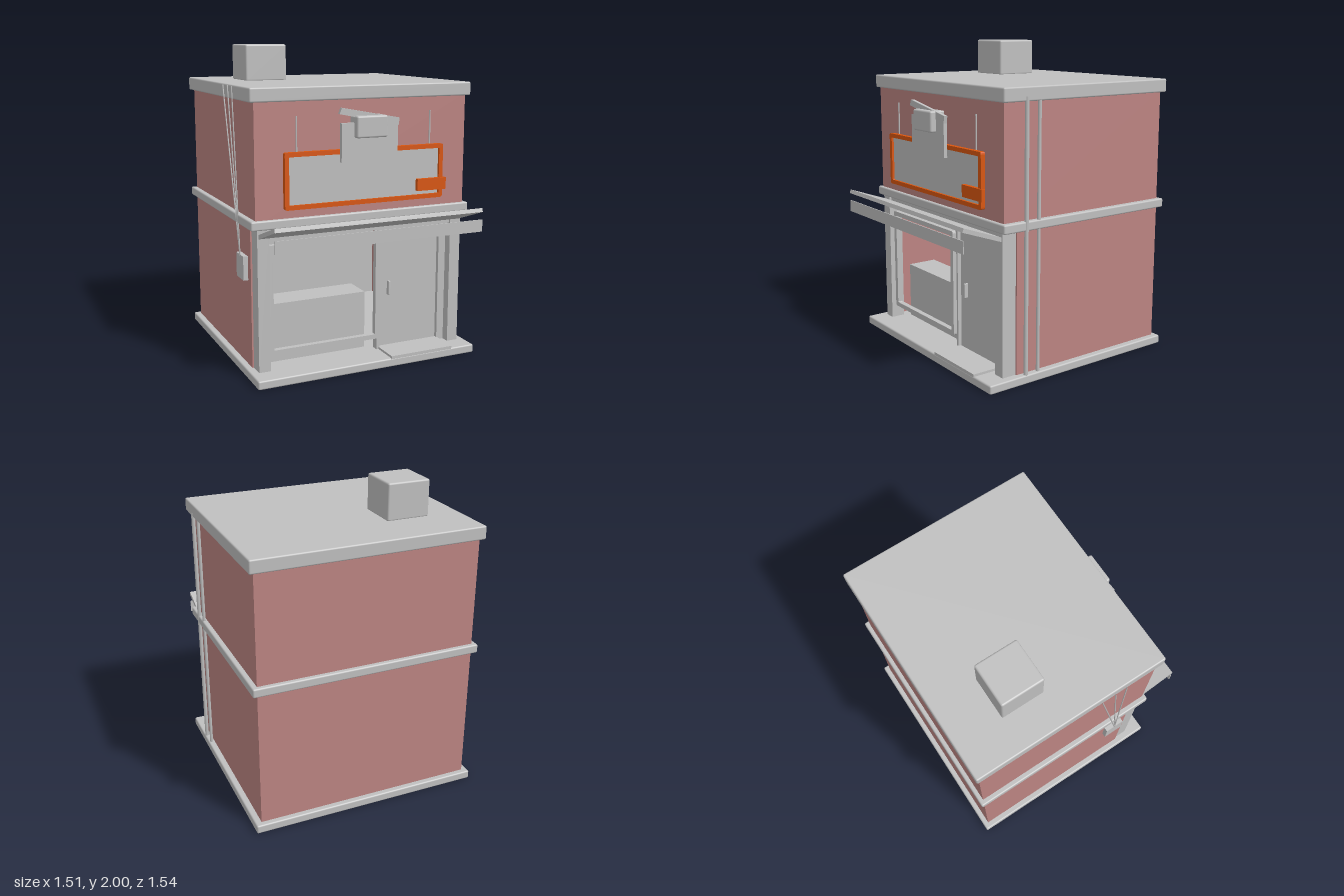
import * as THREE from 'three';
import { RoundedBoxGeometry } from 'three/addons/geometries/RoundedBoxGeometry.js';

export function createModel() {
  const model = new THREE.Group();
  model.name = 'shopBuilding';
  const grey = new THREE.MeshStandardMaterial({ name: 'concreteGrey', color: 0xbfbfbf });
  const pink = new THREE.MeshStandardMaterial({ name: 'brickPink', color: 0xbc8482 });
  const orange = new THREE.MeshStandardMaterial({ name: 'signOrange', color: 0xd9560f });

  const add = (name, geometry, material) => {
    const mesh = new THREE.Mesh(geometry, material);
    mesh.name = name;
    model.add(mesh);
    return mesh;
  };
  // Box given by its limits on each axis; bevel rounds the edges
  const box = (name, material, [x0, x1], [y0, y1], [z0, z1], bevel = 0) => {
    const size = [x1 - x0, y1 - y0, z1 - z0];
    const geometry = bevel ? new RoundedBoxGeometry(...size, 2, bevel) : new THREE.BoxGeometry(...size);
    const mesh = add(name, geometry, material);
    mesh.position.set((x0 + x1) / 2, (y0 + y1) / 2, (z0 + z1) / 2);
    return mesh;
  };
  // Straight round rod between two points
  const rod = (name, a, b, radius) => {
    const path = new THREE.LineCurve3(new THREE.Vector3(...a), new THREE.Vector3(...b));
    return add(name, new THREE.TubeGeometry(path, 1, radius, 8), grey);
  };
  // Rounded rectangle outline, used for frames
  const roundRect = (path, x0, x1, y0, y1, r) => {
    path.moveTo(x0 + r, y0);
    path.lineTo(x1 - r, y0);
    path.quadraticCurveTo(x1, y0, x1, y0 + r);
    path.lineTo(x1, y1 - r);
    path.quadraticCurveTo(x1, y1, x1 - r, y1);
    path.lineTo(x0 + r, y1);
    path.quadraticCurveTo(x0, y1, x0, y1 - r);
    path.lineTo(x0, y0 + r);
    path.quadraticCurveTo(x0, y0, x0 + r, y0);
    return path;
  };
  const frame = (name, material, [x0, x1], [y0, y1], [z0, z1], width) => {
    const shape = roundRect(new THREE.Shape(), x0, x1, y0, y1, 0.015);
    shape.holes.push(roundRect(new THREE.Path(), x0 + width, x1 - width, y0 + width, y1 - width, 0.005));
    const geometry = new THREE.ExtrudeGeometry(shape, { depth: z1 - z0, bevelEnabled: false, curveSegments: 3 });
    geometry.translate(0, 0, z0);
    return add(name, geometry, material);
  };

  // Slabs and chimney
  box('baseSlab', grey, [-0.75, 0.75], [0, 0.055], [-0.77, 0.63], 0.01);
  box('middleBand', grey, [-0.743, 0.743], [0.938, 0.995], [-0.763, 0.525], 0.01);
  box('roofSlab', grey, [-0.74, 0.74], [1.685, 1.77], [-0.76, 0.525], 0.01);
  box('chimney', grey, [-0.52, -0.24], [1.765, 2], [-0.45, -0.17], 0.012);

  // Walls: solid upper floor, open-fronted lower floor
  box('upperWalls', pink, [-0.71, 0.71], [0.96, 1.7], [-0.735, 0.505]);
  for (const s of [-1, 1]) {
    const inner = s * 0.68, outer = s * 0.71;
    box('lowerSideWall', pink, [Math.min(inner, outer), Math.max(inner, outer)], [0.05, 0.95], [-0.735, 0.41]);
    const a = s * 0.625, b = s * 0.7;
    box('frontPillar', grey, [Math.min(a, b), Math.max(a, b)], [0.05, 0.95], [0.41, 0.505]);
  }
  box('lowerBackWall', pink, [-0.68, 0.68], [0.05, 0.95], [-0.735, -0.705]);
  box('innerBackWall', grey, [-0.68, 0.68], [0.05, 0.95], [-0.705, -0.697]);

  // Shop front
  box('lintel', grey, [-0.625, 0.625], [0.86, 0.945], [0.41, 0.49]);
  frame('windowFrame', grey, [-0.62, 0.13], [0.14, 0.83], [0.44, 0.475], 0.03);
  box('displayCounter', grey, [-0.595, 0.075], [0.05, 0.43], [0.17, 0.37]);
  box('doorPost', grey, [0.125, 0.145], [0.05, 0.87], [0.4, 0.45]);
  box('doorPost', grey, [0.575, 0.625], [0.05, 0.87], [0.4, 0.45]);
  box('door', grey, [0.145, 0.575], [0.05, 0.86], [0.395, 0.425]);
  box('doorTopRail', grey, [0.17, 0.54], [0.825, 0.833], [0.42, 0.43]);
  box('doorHandle', grey, [0.208, 0.222], [0.41, 0.505], [0.42, 0.45], 0.004);
  box('doorStep', grey, [0.14, 0.58], [0.05, 0.07], [0.43, 0.63]);

  // Awning tilted up toward the street, with a hanging valance
  const awning = box('awning', grey, [-0.69, 0.69], [0.932, 0.957], [0.492, 0.778]);
  awning.rotation.x = -0.34;
  box('awningValance', grey, [-0.69, 0.69], [0.855, 0.932], [0.766, 0.772]);

  // Main sign with frame, tag and hanging rods
  box('signPanel', grey, [-0.508, 0.508], [1.072, 1.368], [0.505, 0.525]);
  frame('signFrame', orange, [-0.535, 0.535], [1.048, 1.39], [0.51, 0.54], 0.027);
  box('signTag', orange, [0.35, 0.555], [1.1, 1.175], [0.525, 0.55]);
  for (const x of [-0.45, 0.45]) rod('signRod', [x, 1.38, 0.512], [x, 1.6, 0.512], 0.005);

  // Upper emblem: plate, slanted strip and centre box
  const plate = new THREE.Shape([[-0.185, 1.315], [0.192, 1.315], [0.192, 1.53], [0.06, 1.55], [-0.185, 1.55]]
    .map(([x, y]) => new THREE.Vector2(x, y)));
  const strip = new THREE.Shape([[-0.2, 1.605], [0.195, 1.525], [0.202, 1.57], [-0.185, 1.642]]
    .map(([x, y]) => new THREE.Vector2(x, y)));
  for (const [name, shape, z] of [['emblemPlate', plate, 0.548], ['emblemStrip', strip, 0.55]]) {
    const geometry = new THREE.ExtrudeGeometry(shape, { depth: 0.023, bevelEnabled: false });
    geometry.translate(0, 0, z);
    add(name, geometry, grey);
  }
  box('emblemBox', grey, [-0.102, 0.105], [1.46, 1.592], [0.505, 0.61], 0.012);

  // Drain pipes on the left side
  rod('drainPipe', [0.735, 0.05, 0.36], [0.735, 1.715, 0.36], 0.013);
  rod('drainPipe', [0.73, 0.05, 0.265], [0.73, 1.69, 0.265], 0.011);

  // Meter box and cables on the right side
  box('meterBox', grey, [-0.74, -0.705], [0.6, 0.75], [0.23, 0.36]);
  for (const z of [0.07, 0.16, 0.24]) rod('cable', [-0.752, 1.765, z], [-0.738, 0.74, 0.295], 0.004);

  return model;
}
